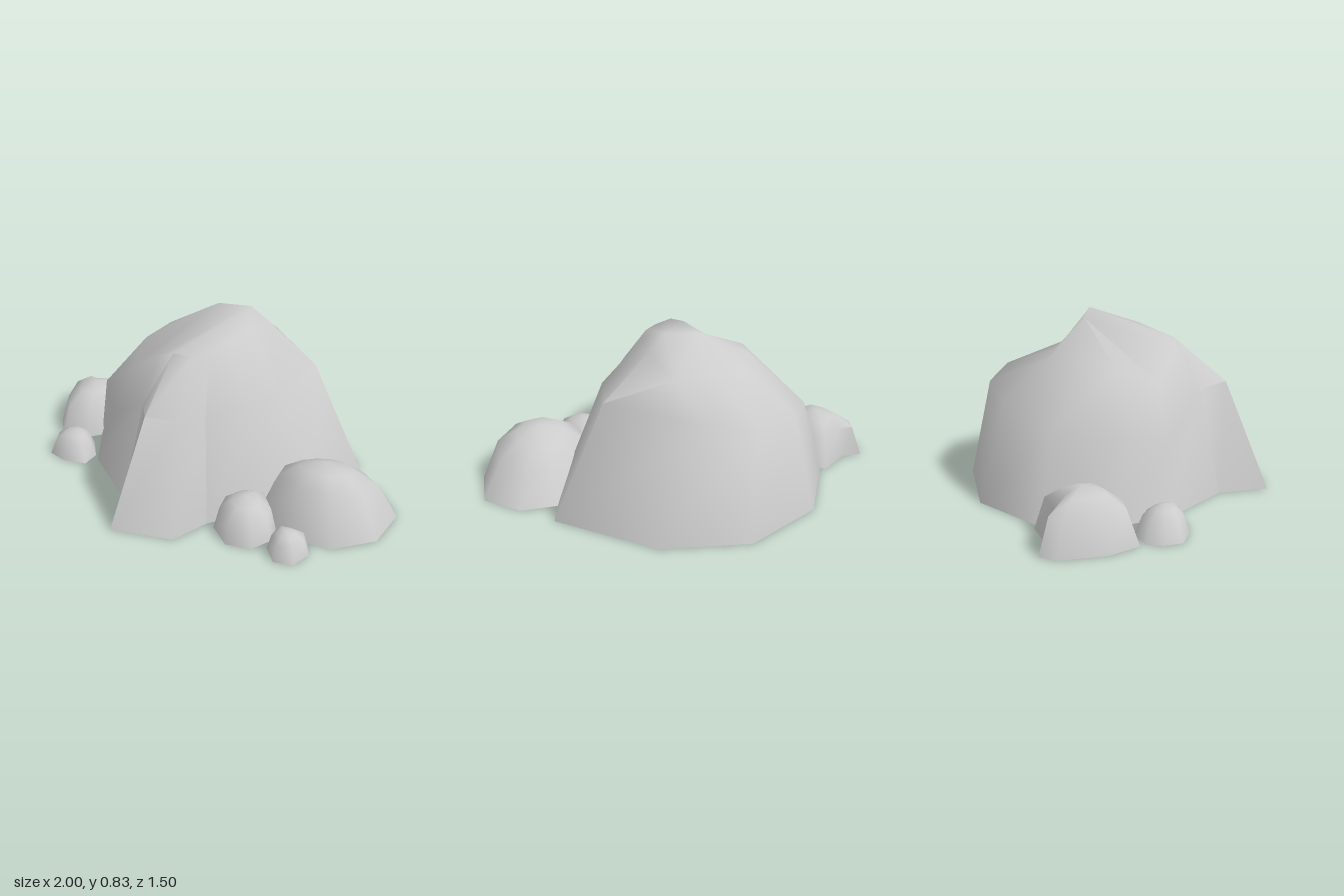
import * as THREE from 'three';
import { mergeVertices, toCreasedNormals } from 'three/addons/utils/BufferGeometryUtils.js';

const material = new THREE.MeshStandardMaterial({ color: 0xcccccc, side: THREE.DoubleSide });

// Skin a stack of closed rings (bottom to top) of [x, y, z] points; the base stays open.
function skin(name, rings) {
  const n = rings[0].length;
  const index = [];
  for (let r = 0; r < rings.length - 1; r++) {
    for (let i = 0; i < n; i++) {
      const j = (i + 1) % n;
      const a = r * n + i, b = r * n + j, c = a + n, d = b + n;
      index.push(b, a, c, b, c, d);
    }
  }
  const geometry = new THREE.BufferGeometry();
  geometry.setAttribute('position', new THREE.Float32BufferAttribute(rings.flat(2), 3));
  geometry.setIndex(index);
  const mesh = new THREE.Mesh(toCreasedNormals(mergeVertices(geometry, 1e-4), 1.25), material);
  mesh.name = name;
  return mesh;
}

// Small rock: a ground outline of [x, z] points drawn in towards its peak; tilt lifts its front side.
function boulder(name, [px, h, pz], outline, shoulder, tilt = 0) {
  const levels = [[1, 0, 0], [shoulder, 0.66, tilt], [shoulder * 0.56, 0.88, tilt], [0, 1, 0]];
  return skin(name, levels.map(([t, y, lift]) => outline.map(([x, z]) => [
    px + (x - px) * t, h * y + lift * (z - pz) * t, pz + (z - pz) * t,
  ])));
}

export function createModel() {
  const group = new THREE.Group();
  group.name = 'rockCluster';

  // Main rock: base, shoulder and crown rings, clockwise from the back
  const base = [
    [-0.05, -0.75], [0.36, -0.62], [0.73, -0.22], [0.6, 0.1], [0.42, 0.3], [0.2, 0.52], [0.05, 0.52],
    [-0.12, 0.51], [-0.26, 0.51], [-0.55, 0.28], [-0.68, 0.02], [-0.69, -0.3], [-0.45, -0.62],
  ].map(([x, z]) => [x, 0, z]);
  const shoulder = [
    [-0.13, 0.51, -0.62], [0.1, 0.545, -0.575], [0.46, 0.56, -0.2], [0.37, 0.53, 0.08], [0.27, 0.5, 0.22],
    [0.14, 0.5, 0.4], [0.05, 0.5, 0.42], [-0.08, 0.5, 0.42], [-0.18, 0.5, 0.41], [-0.45, 0.3, 0.25],
    [-0.575, 0.38, 0.1], [-0.585, 0.39, -0.26], [-0.38, 0.48, -0.5],
  ];
  const crown = [
    [-0.05, 0.655, -0.31], [0.14, 0.655, -0.29], [0.22, 0.76, -0.17], [0.18, 0.78, -0.02], [0.13, 0.76, 0.1],
    [0.07, 0.73, 0.2], [0.01, 0.72, 0.26], [-0.08, 0.73, 0.28], [-0.16, 0.7, 0.29], [-0.34, 0.57, 0.21],
    [-0.37, 0.64, 0.02], [-0.32, 0.66, -0.16], [-0.22, 0.645, -0.31],
  ];
  // Short summit ridge between two peaks
  const summit = crown.map((p, i) => (i >= 1 && i <= 7 ? [0.13, 0.835, -0.15] : [-0.05, 0.815, -0.16]));
  group.add(skin('mainRock', [base, shoulder, crown, summit]));

  // Buttress leaning against the front of the main rock
  group.add(skin('frontSpur', [
    [[0.2, 0, 0.52], [0.11, 0, 0.69], [-0.19, 0, 0.75], [-0.26, 0, 0.51]],
    [[0.14, 0.5, 0.4], [0.05, 0.5, 0.48], [-0.1, 0.52, 0.535], [-0.18, 0.5, 0.41]],
    [[0.07, 0.73, 0.2], [0.01, 0.72, 0.26], [-0.08, 0.73, 0.28], [-0.16, 0.7, 0.29]],
  ]));

  // Boulders on the model's left
  group.add(boulder('largeLeftBoulder', [0.66, 0.295, 0.21], [
    [0.68, -0.1], [0.86, -0.07], [1, 0.09], [0.96, 0.31], [0.79, 0.45],
    [0.58, 0.46], [0.39, 0.34], [0.37, 0.15], [0.5, 0],
  ], 0.71, 0.24));
  group.add(boulder('mediumLeftBoulder', [0.37, 0.17, 0.45], [
    [0.41, 0.29], [0.51, 0.42], [0.52, 0.51], [0.46, 0.6],
    [0.34, 0.62], [0.24, 0.53], [0.23, 0.42], [0.3, 0.32],
  ], 0.82));
  group.add(boulder('smallLeftBoulder', [0.6, 0.112, 0.54], [
    [0.53, 0.46], [0.6, 0.45], [0.68, 0.46], [0.71, 0.53], [0.67, 0.62], [0.58, 0.64], [0.52, 0.56],
  ], 0.78));

  // Boulders on the model's right
  group.add(boulder('largeRightBoulder', [-0.77, 0.24, -0.1], [
    [-0.97, -0.26], [-0.87, -0.24], [-0.71, -0.32], [-0.59, -0.22], [-0.57, -0.02],
    [-0.71, 0.11], [-0.85, 0.15], [-0.94, 0.03], [-1, -0.18],
  ], 0.77));
  group.add(boulder('smallRightBoulder', [-0.69, 0.13, 0.25], [
    [-0.83, 0.17], [-0.74, 0.12], [-0.65, 0.15], [-0.58, 0.25],
    [-0.59, 0.34], [-0.71, 0.36], [-0.81, 0.33], [-0.84, 0.25],
  ], 0.74));

  return group;
}
